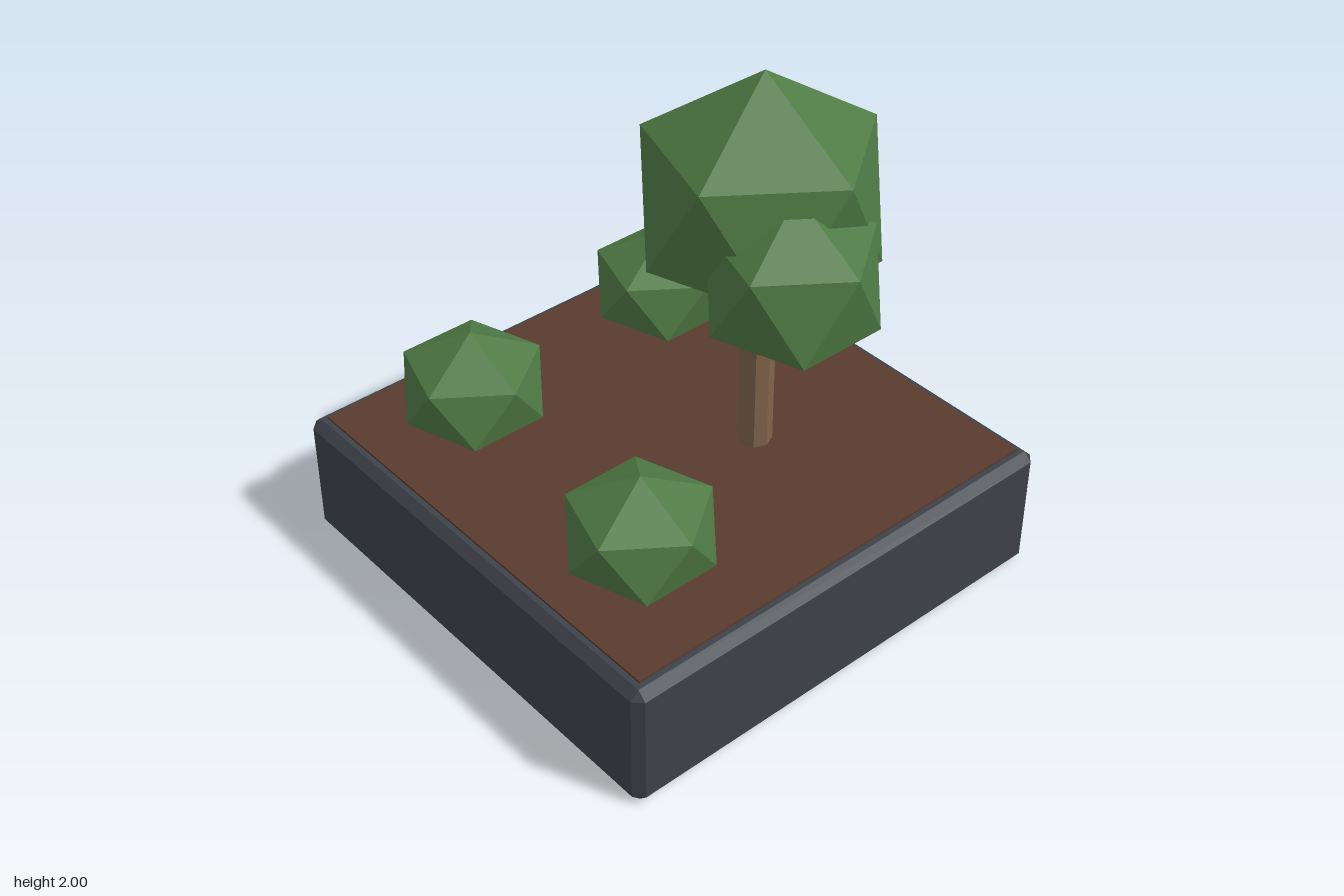
import * as THREE from 'three';
import { ConvexGeometry } from 'three/addons/geometries/ConvexGeometry.js';

const mat = (name, color, flatShading = true) => {
  const m = new THREE.MeshStandardMaterial({ color, flatShading });
  m.name = name;
  return m;
};

// Icosahedron of radius 1 standing on a point: two poles and two rings of five
function icoGeometry() {
  const pts = [new THREE.Vector3(0, 1, 0), new THREE.Vector3(0, -1, 0)];
  const h = 1 / Math.sqrt(5), r = 2 * h;
  for (let i = 0; i < 5; i++) {
    const a = (i * 2 * Math.PI) / 5, b = a + Math.PI / 5;
    pts.push(new THREE.Vector3(r * Math.cos(a), h, r * Math.sin(a)));
    pts.push(new THREE.Vector3(r * Math.cos(b), -h, r * Math.sin(b)));
  }
  return new ConvexGeometry(pts);
}

// Box with every edge cut at 45 degrees
function chamferBox(w, h, d, c) {
  const pts = [];
  for (const x of [-1, 1]) for (const y of [-1, 1]) for (const z of [-1, 1]) {
    for (let k = 0; k < 3; k++) {
      pts.push(new THREE.Vector3(
        x * (w / 2 - (k === 0 ? 0 : c)),
        y * (h / 2 - (k === 1 ? 0 : c)),
        z * (d / 2 - (k === 2 ? 0 : c))));
    }
  }
  return new ConvexGeometry(pts);
}

export function createModel() {
  const model = new THREE.Group();
  model.name = 'planter';
  const slate = mat('slate', 0x3d4249);
  const soilBrown = mat('soilBrown', 0x5a3b2e);
  const bark = mat('bark', 0x80634a);
  const leaf = mat('leaf', 0x4f7a45);

  const add = (parent, name, geo, material, x, y, z) => {
    const mesh = new THREE.Mesh(geo, material);
    mesh.name = name;
    mesh.position.set(x, y, z);
    parent.add(mesh);
    return mesh;
  };

  // Planter box and the soil sheet on top
  add(model, 'planterBox', chamferBox(1.866, 0.497, 1.866, 0.033), slate, 0, 0.2485, 0);
  add(model, 'soil', new THREE.BoxGeometry(1.76, 0.04, 1.76), soilBrown, 0, 0.486, 0);

  // Tree: eight-sided trunk and three foliage clumps
  const ico = icoGeometry();
  const tree = new THREE.Group();
  tree.name = 'tree';
  model.add(tree);
  add(tree, 'trunk', new THREE.CylinderGeometry(0.064, 0.064, 0.8, 8), bark, 0.218, 0.89, -0.218);
  const clumps = [
    ['crown', 0.218, 1.537, -0.218, 0.463],
    ['leftClump', 0.492, 1.378, -0.11, 0.329],
    ['rightClump', 0, 1.433, -0.385, 0.329],
  ];
  for (const [name, x, y, z, r] of clumps) add(tree, name, ico, leaf, x, y, z).scale.setScalar(r);

  // Flattened bushes sunk into the soil
  const bushes = [[-0.55, -0.442], [-0.495, 0.495], [0.495, 0.547]];
  bushes.forEach(([x, z], i) => {
    add(model, 'bush' + (i + 1), ico, leaf, x, 0.685, z).scale.set(0.285, 0.228, 0.285);
  });

  return model;
}
